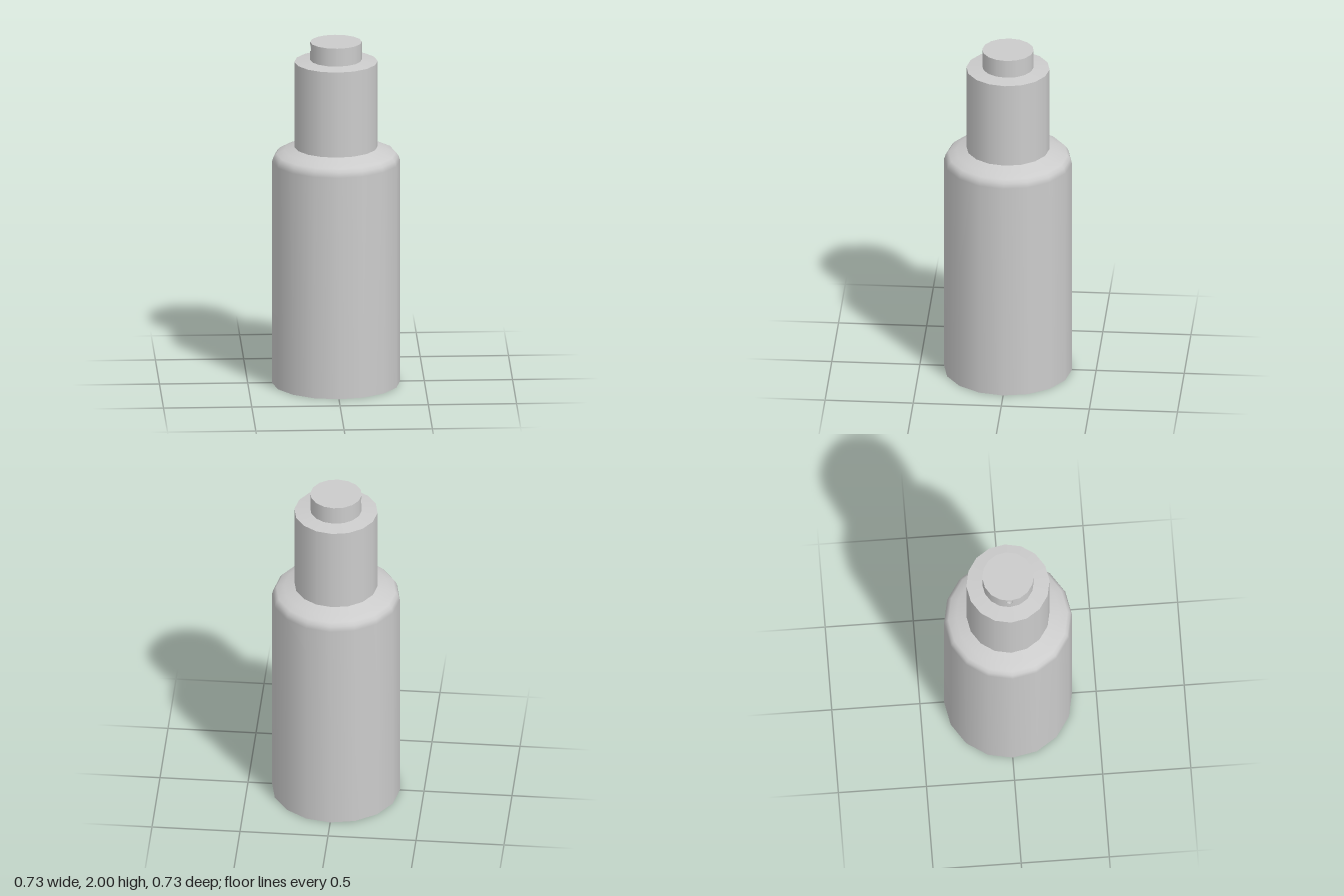
import * as THREE from 'three';

const SIDES = 16;
const mat = new THREE.MeshStandardMaterial({ color: 0xcccccc });
const inner = new THREE.MeshStandardMaterial({ color: 0xcccccc, side: THREE.DoubleSide });

function add(parent, name, geometry, material = mat) {
  const mesh = new THREE.Mesh(geometry, material);
  mesh.name = name;
  parent.add(mesh);
  return mesh;
}

// Revolved surface from [radius, y] pairs, listed bottom to top
function lathe(points, segments = SIDES, start = 0, length = Math.PI * 2) {
  return new THREE.LatheGeometry(points.map(([r, y]) => new THREE.Vector2(r, y)), segments, start, length);
}

function disc(radius, y, up) {
  return new THREE.CircleGeometry(radius, SIDES).rotateX(up ? -Math.PI / 2 : Math.PI / 2).translate(0, y, 0);
}

// Push button with a small round spray hole on its -x corner
function createButton() {
  const button = new THREE.Group();
  button.name = 'sprayButton';
  const R = 0.146, bottom = 1.89, top = 2, holeY = 1.966, holeR = 0.019, depth = 0.03;
  const step = (Math.PI * 2) / SIDES, half = step / 2;
  const width = 2 * R * Math.sin(half);

  add(button, 'buttonTop', disc(R, top, true));
  // Wall without the two facets that meet at the hole
  add(button, 'buttonWall',
    lathe([[R, bottom], [R, top]], SIDES - 2, Math.PI * 1.5 + step, Math.PI * 2 - 2 * step));

  // Two mirrored facets, each with half of the hole cut from its edge
  for (const side of [1, -1]) {
    const shape = new THREE.Shape();
    shape.moveTo(0, bottom);
    shape.lineTo(width, bottom);
    shape.lineTo(width, top);
    shape.lineTo(0, top);
    shape.lineTo(0, holeY + holeR);
    shape.absarc(0, holeY, holeR, Math.PI / 2, -Math.PI / 2, true);
    const panel = new THREE.ShapeGeometry(shape, 8);
    const p = panel.attributes.position, n = panel.attributes.normal;
    for (let i = 0; i < p.count; i++) {
      const u = p.getX(i);
      const x = -R + u * Math.sin(half), z = side * u * Math.cos(half);
      const len = Math.hypot(x, z);
      p.setXYZ(i, x, p.getY(i), z);
      n.setXYZ(i, x / len, 0, z / len);
    }
    if (side < 0) panel.index.array.reverse();
    add(button, 'nozzlePanel', panel);
  }

  // Recess whose outer rim follows the two facets
  const recess = new THREE.CylinderGeometry(holeR, holeR, depth, 16, 1, true).rotateZ(Math.PI / 2);
  const p = recess.attributes.position;
  for (let i = 0; i < p.count; i++) {
    const z = p.getZ(i);
    const x = p.getX(i) < 0 ? -R + Math.abs(z) * Math.sin(half) : -R + depth;
    p.setXYZ(i, x, p.getY(i) + holeY, z * Math.cos(half));
  }
  add(button, 'nozzleRecess', recess, inner);
  add(button, 'nozzleFloor',
    new THREE.CircleGeometry(holeR, 16).rotateY(-Math.PI / 2).translate(-R + depth, holeY, 0), inner);
  return button;
}

export function createModel() {
  const model = new THREE.Group();
  model.name = 'sprayBottle';

  // Body with rounded shoulder
  add(model, 'body', lathe([
    [0.363, 0], [0.363, 1.3], [0.354, 1.328], [0.338, 1.347], [0.295, 1.364], [0.236, 1.385],
  ]));
  add(model, 'base', disc(0.363, 0, false));

  // Collar with a slightly raised top
  add(model, 'collar', lathe([[0.236, 1.38], [0.236, 1.885]]));
  add(model, 'collarTop', lathe([[0.236, 1.885], [0.146, 1.895]]));

  model.add(createButton());
  return model;
}
